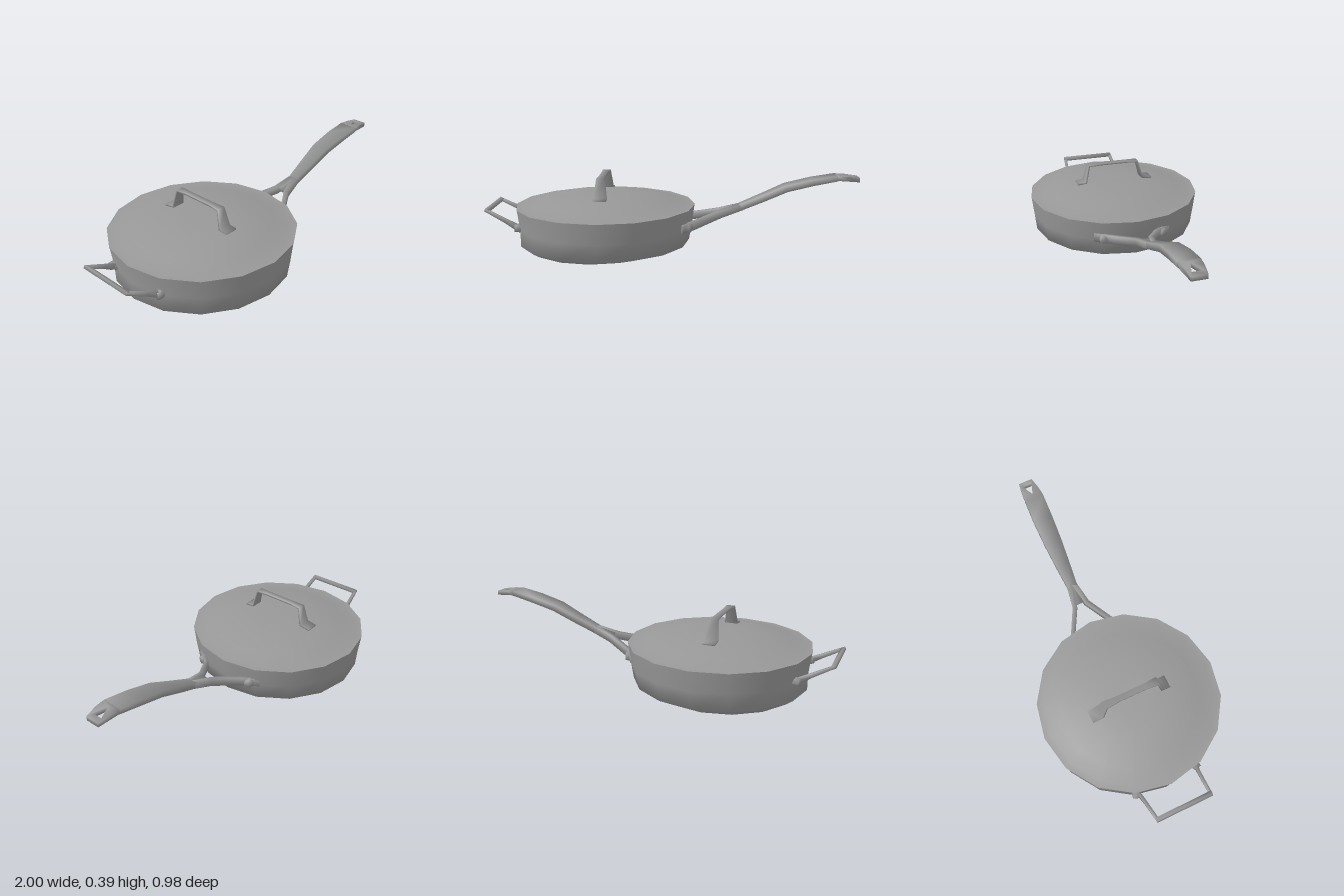
import * as THREE from 'three';
import { toCreasedNormals } from 'three/addons/utils/BufferGeometryUtils.js';

const V = (x, y, z) => new THREE.Vector3(x, y, z);
const steel = new THREE.MeshStandardMaterial({ color: 0x989898 });
steel.name = 'steel';

function part(name, geometry, parent) {
  const mesh = new THREE.Mesh(geometry, steel);
  mesh.name = name;
  parent.add(mesh);
}

// Skin a list of equal-length point loops and close both ends.
function loft(loops, crease) {
  const n = loops[0].length, pos = [], idx = [];
  loops.forEach(l => l.forEach(p => pos.push(p.x, p.y, p.z)));
  for (let k = 0; k < loops.length - 1; k++) {
    for (let i = 0; i < n; i++) {
      const a = k * n + i, b = k * n + (i + 1) % n;
      idx.push(a, b, b + n, a, b + n, a + n);
    }
  }
  const end = (loops.length - 1) * n;
  for (let i = 1; i < n - 1; i++) {
    idx.push(0, i + 1, i, end, end + i, end + i + 1);
  }
  const g = new THREE.BufferGeometry();
  g.setAttribute('position', new THREE.Float32BufferAttribute(pos, 3));
  g.setIndex(idx);
  return toCreasedNormals(g, crease);
}

// Round vessel from rings of [y, radiusX, radiusZ, centreX, centreZ], soft except at the rim.
function vessel(rings, sides) {
  return loft(rings.map(([y, rx, rz, cx, cz]) => Array.from({ length: sides }, (_, i) => {
    const a = (i / sides) * Math.PI * 2;
    return V(cx + rx * Math.sin(a), y, cz + rz * Math.cos(a));
  })), 1.5);
}

// Soft-shaded bar along points [x, y, z, width, thickness]; width lies along `hint`.
function bar(points, hint) {
  const c = points.map(p => V(p[0], p[1], p[2]));
  return loft(points.map((p, i) => {
    const t = c[Math.min(i + 1, c.length - 1)].clone().sub(c[Math.max(i - 1, 0)]).normalize();
    const s = hint.clone().addScaledVector(t, -hint.dot(t)).normalize();
    const u = t.clone().cross(s);
    return [[1, 1], [-1, 1], [-1, -1], [1, -1]].map(([a, b]) =>
      c[i].clone().addScaledVector(s, a * p[3] / 2).addScaledVector(u, b * p[4] / 2));
  }), 1.8);
}

// Rivet lying on the pan wall, pointing outward at an angle from +x.
function rivet(parent, angle, y, radius) {
  const g = new THREE.CylinderGeometry(radius * 0.75, radius, 0.04, 8);
  g.rotateZ(-Math.PI / 2).translate(0.48, 0, 0).rotateY(-angle).translate(-0.37, y, 0);
  part('rivet', toCreasedNormals(g, 1.8), parent);
}

export function createModel() {
  const model = new THREE.Group();
  model.name = 'lidded pan';
  const X = -0.37;

  // Pan body: floor, chamfer, flared wall, rim and inside
  part('panBody', vessel([
    [0, 0.385, 0.41, -0.415, -0.01],
    [0.028, 0.464, 0.464, -0.378, 0],
    [0.12, 0.472, 0.474, X, 0],
    [0.226, 0.486, 0.486, X, 0],
    [0.224, 0.468, 0.47, X, 0],
    [0.035, 0.44, 0.44, -0.38, 0],
  ], 16), model);

  // Lid: rim, shallow groove and raised plateau
  part('lid', vessel([
    [0.222, 0.46, 0.46, X, 0],
    [0.227, 0.488, 0.488, X, 0],
    [0.228, 0.45, 0.45, X, 0],
    [0.252, 0.37, 0.37, X, 0],
    [0.281, 0.2, 0.22, X, 0.02],
    [0.286, 0.1, 0.11, X, 0.02],
  ], 16), model);

  // Lid handle: flat strap with splayed feet
  part('lidHandle', bar([
    [-0.38, 0.286, 0.215, 0.07, 0.008],
    [-0.38, 0.291, 0.168, 0.07, 0.012],
    [-0.38, 0.387, 0.145, 0.045, 0.012],
    [-0.38, 0.389, 0.08, 0.032, 0.01],
    [-0.38, 0.389, -0.08, 0.032, 0.01],
    [-0.38, 0.387, -0.147, 0.045, 0.012],
    [-0.38, 0.291, -0.172, 0.07, 0.012],
    [-0.38, 0.282, -0.23, 0.07, 0.008],
  ], V(1, 0, 0)), model);

  // Long handle: forked root, rising grip and pierced tip
  const longHandle = new THREE.Group();
  longHandle.name = 'longHandle';
  model.add(longHandle);
  for (const s of [1, -1]) {
    part('forkProng', bar([
      [0.05, 0.137, 0.012 + s * 0.21, 0.045, 0.016],
      [0.108, 0.137, 0.01 + s * 0.12, 0.045, 0.022],
      [0.25, 0.178, 0.005 + s * 0.036, 0.04, 0.026],
      [0.37, 0.214, 0.004 + s * 0.012, 0.034, 0.03],
    ], V(0, 1, 0)), longHandle);
    rivet(longHandle, 0.025 + s * 0.35, 0.135, 0.03);
  }
  part('grip', bar([
    [0.26, 0.181, 0.004, 0.04, 0.03],
    [0.36, 0.211, 0.004, 0.056, 0.034],
    [0.48, 0.262, 0.003, 0.078, 0.034],
    [0.61, 0.32, 0.002, 0.098, 0.034],
    [0.75, 0.355, 0.005, 0.108, 0.032],
    [0.88, 0.379, 0.01, 0.108, 0.027],
  ], V(0, 0, 1)), longHandle);

  const tip = new THREE.Shape([[0.875, -0.044], [0.93, -0.04], [0.998, -0.03],
    [0.998, 0.047], [0.93, 0.06], [0.875, 0.064]].map(p => new THREE.Vector2(...p)));
  tip.holes.push(new THREE.Path([[0.9, 0.012], [0.968, 0.034], [0.968, -0.02]]
    .map(p => new THREE.Vector2(...p))));
  const tipGeo = new THREE.ExtrudeGeometry(tip, { depth: 0.024, bevelEnabled: false });
  tipGeo.rotateX(Math.PI / 2).translate(0, 0.392, 0);
  const tp = tipGeo.attributes.position;
  for (let i = 0; i < tp.count; i++) {
    tp.setY(i, tp.getY(i) - Math.max(0, tp.getX(i) - 0.91) * 0.12);
  }
  part('gripTip', toCreasedNormals(tipGeo, 1.8), longHandle);

  // Helper handle: slanted open loop on the opposite side
  const helper = new THREE.Group();
  helper.name = 'helperHandle';
  model.add(helper);
  const slant = V(0.45, 0.9, 0);
  part('loopBar', bar([
    [-0.985, 0.219, 0.165, 0.016, 0.022],
    [-0.985, 0.219, -0.15, 0.016, 0.022],
  ], slant), helper);
  for (const [outer, inner] of [[0.157, 0.175], [-0.142, -0.165]]) {
    part('loopArm', bar([
      [-0.992, 0.223, outer, 0.014, 0.016],
      [-0.88, 0.164, (outer + inner) / 2, 0.022, 0.016],
      [-0.8, 0.12, inner, 0.034, 0.018],
    ], slant), helper);
    rivet(helper, Math.PI - Math.sign(inner) * 0.37, 0.13, 0.026);
  }
  return model;
}
